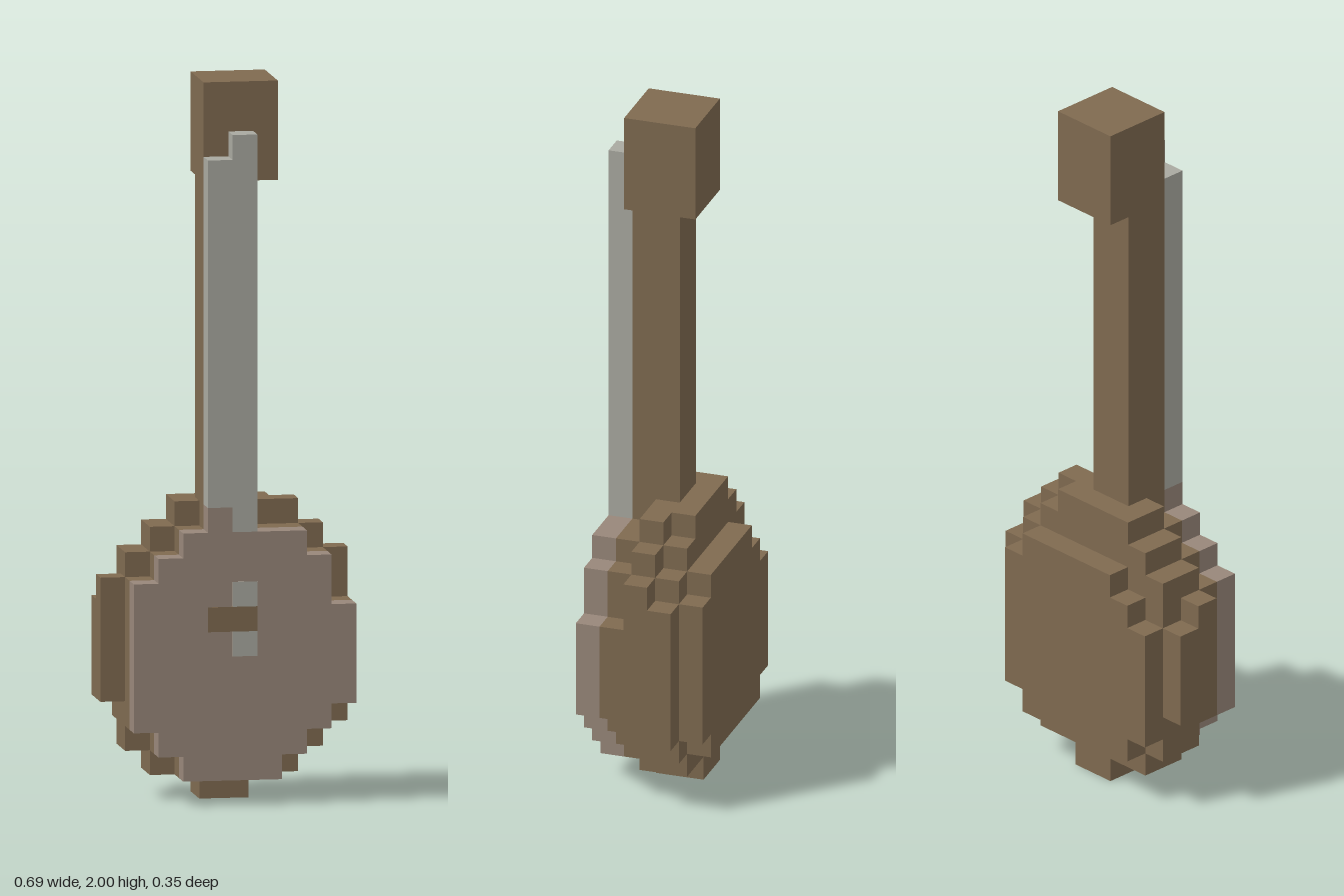
import * as THREE from 'three';

const U = 2 / 29; // one block

export function createModel() {
  const model = new THREE.Group();
  const material = (name, color) => {
    const m = new THREE.MeshStandardMaterial({ color });
    m.name = name;
    return m;
  };
  const wood = material('brownWood', 0x7f6a50);
  const face = material('paleWood', 0x98877a);
  const metal = material('greyStrings', 0xa9a9a0);

  const add = (name, geometry, mat) => {
    const mesh = new THREE.Mesh(geometry, mat);
    mesh.name = name;
    model.add(mesh);
  };

  // Box between block coordinates; x counts from the right, y up, z from the back
  const block = (name, mat, [x0, y0, z0], [x1, y1, z1]) => {
    const g = new THREE.BoxGeometry((x1 - x0) * U, (y1 - y0) * U, (z1 - z0) * U);
    g.translate(((x0 + x1) / 2 - 5) * U, ((y0 + y1) / 2) * U, ((z0 + z1) / 2 - 2.5) * U);
    add(name, g, mat);
  };

  // Stepped slab: one [bottom, top] pair per column of blocks
  const slab = (name, mat, firstColumn, columns, z0, depth) => {
    const points = [];
    const put = (x, y) => {
      const p = new THREE.Vector2((x - 5) * U, y * U);
      const last = points[points.length - 1];
      if (!last || last.distanceTo(p) > 1e-6) points.push(p);
    };
    columns.forEach(([low], i) => {
      put(firstColumn + i, low);
      put(firstColumn + i + 1, low);
    });
    for (let i = columns.length - 1; i >= 0; i--) {
      put(firstColumn + i + 1, columns[i][1]);
      put(firstColumn + i, columns[i][1]);
    }
    const g = new THREE.ExtrudeGeometry(new THREE.Shape(points), { depth: depth * U, bevelEnabled: false });
    g.translate(0, 0, (z0 - 2.5) * U);
    add(name, g, mat);
  };

  // Rounded bowl, from back to front
  slab('bodyBack', wood, 1,
    [[3, 8], [2, 9], [2, 10], [2, 10], [2, 10], [2, 10], [2, 10], [3, 9]], 0, 1);
  slab('bodyRearRim', wood, 0,
    [[4, 8], [2, 10], [1, 11], [1, 12], [0, 12], [0, 12], [1, 12], [1, 11], [2, 10], [3, 9]], 1, 1);
  slab('bodyFrontRim', wood, 0,
    [[4, 9], [2, 10], [1, 11], [1, 12], [0, 12], [0, 12], [1, 12], [1, 12], [2, 11], [3, 10]], 2, 1);
  slab('bodyFrontWood', wood, 1,
    [[3, 9], [2, 10], [1, 11], [1, 11], [1, 11], [1, 11], [2, 11], [3, 10], [4, 8]], 3, 1);

  // Pale soundboard
  slab('soundboard', face, 1,
    [[3, 9], [2, 10], [1, 11], [1, 12], [1, 11], [1, 11], [2, 11], [3, 10], [4, 8]], 4, 1);

  // Neck and head
  block('neck', wood, [4, 11, 2], [6, 25, 4]);
  block('head', wood, [4, 25, 1], [7, 29, 4]);

  // Strings of uneven length, drawn as one stepped strip
  slab('strings', metal, 4, [[12, 26], [11, 27]], 4, 1);

  // Bridge and string ends, thin plates on the soundboard
  block('bridge', wood, [4, 7, 4.99], [6, 8, 5.04]);
  block('upperStringEnd', metal, [5, 8, 4.99], [6, 9, 5.04]);
  block('lowerStringEnd', metal, [5, 6, 4.99], [6, 7, 5.04]);

  return model;
}
